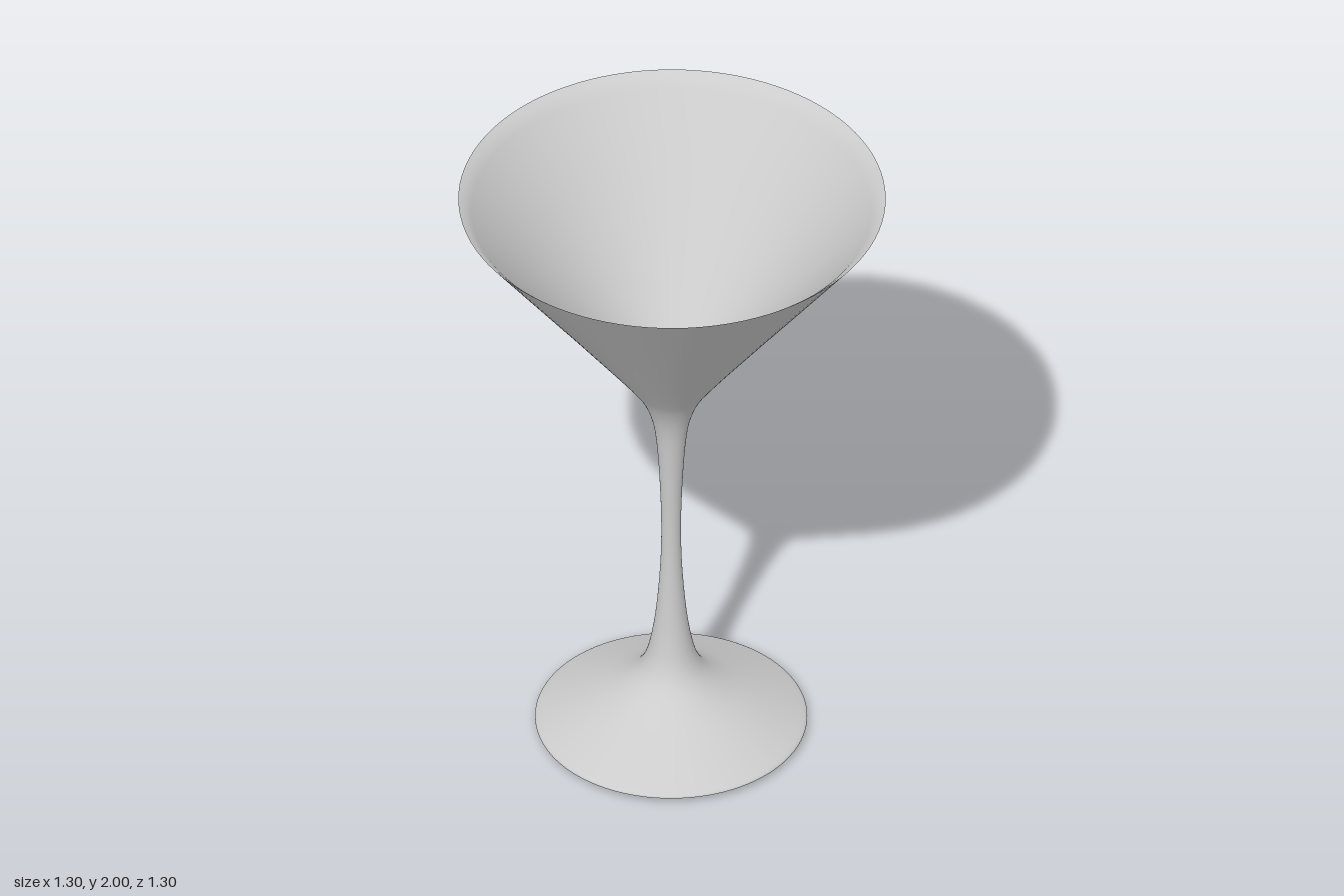
import * as THREE from 'three';

const material = new THREE.MeshStandardMaterial({ color: 0xcccccc, side: THREE.DoubleSide });
const vec = ([r, y]) => new THREE.Vector2(r, y);

// Turned surface whose rings are slid sideways by shift(radius, y) -> [dx, dz]
function turned(name, points, shift) {
  const geometry = new THREE.LatheGeometry(points, 96);
  const p = geometry.attributes.position;
  for (let i = 0; i < p.count; i++) {
    const [dx, dz] = shift(Math.hypot(p.getX(i), p.getZ(i)), p.getY(i));
    p.setX(i, p.getX(i) + dx);
    p.setZ(i, p.getZ(i) + dz);
  }
  const mesh = new THREE.Mesh(geometry, material);
  mesh.name = name;
  return mesh;
}

export function createModel() {
  const glass = new THREE.Group();
  glass.name = 'stemmedGlass';

  // The stem and foot sit slightly off the centre of the rim
  const lean = (r, y) => {
    const k = 1 - THREE.MathUtils.smoothstep(y, 1.2, 2);
    return [-0.008 * k, -0.003 * k];
  };

  // Underside of the foot, very slightly domed
  const underside = [[0, 0], [0.12, 0], [0.3, 0.005], [0.405, 0.012], [0.414, 0.017]];
  glass.add(turned('footUnderside', underside.map(vec), lean));

  // Foot, stem and flare as one smooth profile
  const flare = new THREE.SplineCurve([
    [0.414, 0.017], [0.408, 0.026], [0.36, 0.05], [0.26, 0.1], [0.18, 0.144],
    [0.12, 0.19], [0.085, 0.24], [0.064, 0.31], [0.046, 0.43], [0.033, 0.6],
    [0.03, 0.75], [0.034, 0.9], [0.043, 1.05], [0.057, 1.15], [0.086, 1.23],
    [0.13, 1.3], [0.202, 1.4],
  ].map(vec));
  const outer = [...flare.getPoints(64), vec([0.35, 1.6]), vec([0.5, 1.8]), vec([0.65, 2])];
  glass.add(turned('footStemAndBowl', outer, lean));

  // Thin-lipped conical inside, sliding off centre towards its point
  const inner = [[0.65, 2], [0.633, 1.99], [0.608, 1.97], [0.456, 1.78], [0.304, 1.59], [0.152, 1.4], [0, 1.21]];
  glass.add(turned('bowlInside', inner.map(vec), (r) => {
    const d = Math.min(0.03 - 0.0296 * r, (0.65 - r) * 0.286);
    return [d, d];
  }));

  return glass;
}
